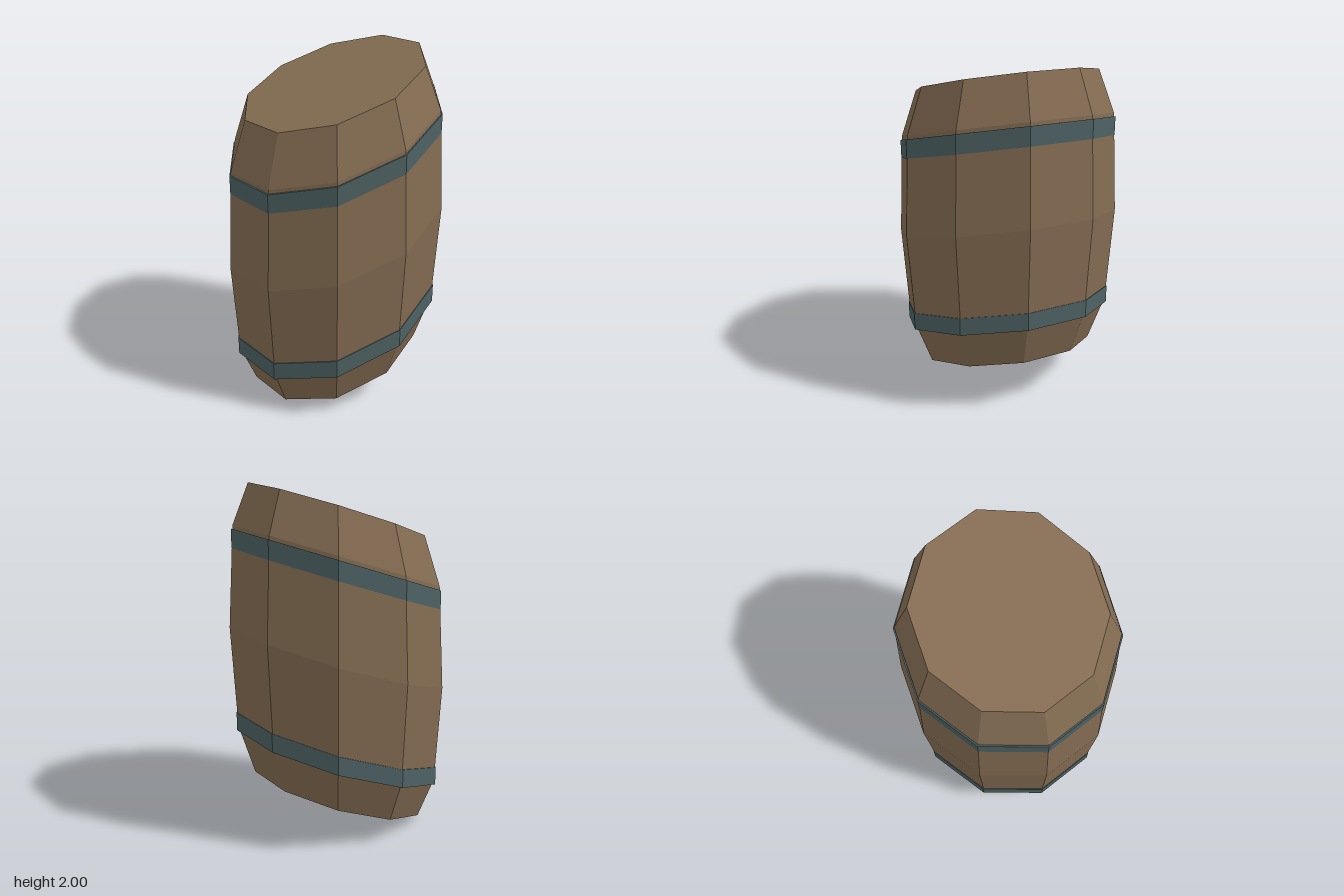
import * as THREE from 'three';

const SIDES = 10;
const SLANT_X = 0.33;   // rise per unit of x
const SLANT_Z = -0.05;  // rise per unit of z

const wood = new THREE.MeshStandardMaterial({ name: 'wood', color: 0x846c52, flatShading: true });
const iron = new THREE.MeshStandardMaterial({ name: 'iron', color: 0x4e6264, flatShading: true });

// Ten-sided turned shape from a [radius, height] profile, slanted upwards to +x
function slantedLathe(name, profile, material) {
  const points = profile.map(([r, y]) => new THREE.Vector2(r, y));
  const geometry = new THREE.LatheGeometry(points, SIDES, Math.PI / 2);
  geometry.applyMatrix4(new THREE.Matrix4().set(
    1, 0, 0, 0,
    SLANT_X, 1, SLANT_Z, 0,
    0, 0, 1, 0,
    0, 0, 0, 1
  ));
  geometry.computeVertexNormals();
  const mesh = new THREE.Mesh(geometry, material);
  mesh.name = name;
  return mesh;
}

export function createModel() {
  const barrel = new THREE.Group();
  barrel.name = 'barrel';

  // Wooden body with closed ends
  barrel.add(slantedLathe('body', [
    [0, 0.165], [0.505, 0.165], [0.597, 0.425], [0.63, 1],
    [0.597, 1.578], [0.505, 1.835], [0, 1.835],
  ], wood));

  // Iron hoops
  for (const [name, bottom] of [['lowerHoop', 0.4], ['upperHoop', 1.45]]) {
    const top = bottom + 0.107;
    barrel.add(slantedLathe(name, [
      [0.55, bottom], [0.606, bottom], [0.606, top], [0.55, top],
    ], iron));
  }
  return barrel;
}
